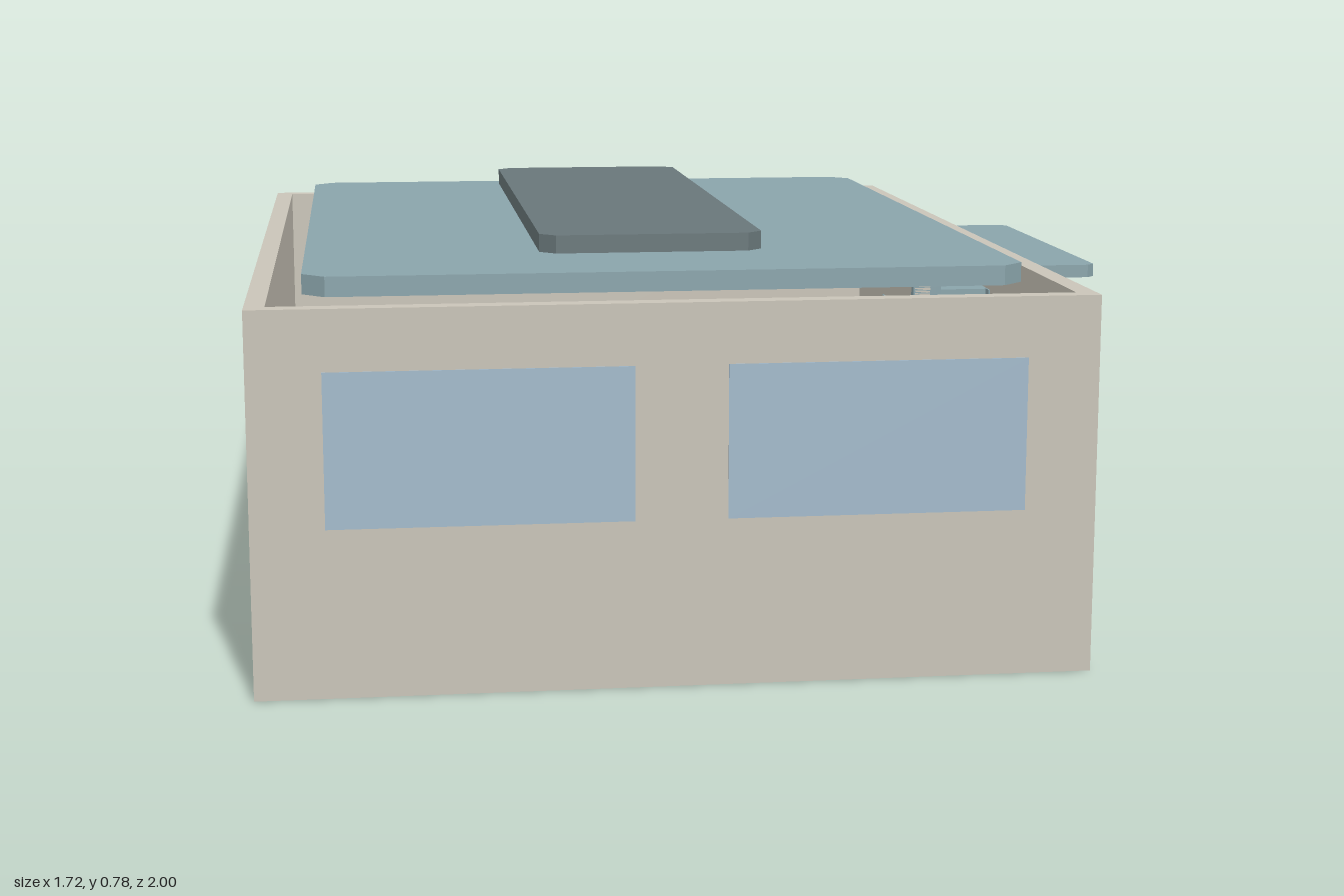
import * as THREE from 'three';

const material = (name, color) => {
  const m = new THREE.MeshStandardMaterial({ color });
  m.name = name;
  return m;
};

export function createModel() {
  const model = new THREE.Group();
  model.name = 'building';
  const plaster = material('beige plaster', 0xc9c4b8);
  const blue = material('grey blue trim', 0x8aa4ab);
  const slate = material('dark slate', 0x69777a);
  const glass = material('pale blue glass', 0xa3bacb);

  const add = (name, geometry, mat, parent = model) => {
    const mesh = new THREE.Mesh(geometry, mat);
    mesh.name = name;
    parent.add(mesh);
    return mesh;
  };
  // Box given by its limits on each axis
  const box = (name, mat, [x0, x1], [y0, y1], [z0, z1], parent) => {
    const g = new THREE.BoxGeometry(x1 - x0, y1 - y0, z1 - z0);
    g.translate((x0 + x1) / 2, (y0 + y1) / 2, (z0 + z1) / 2);
    return add(name, g, mat, parent);
  };
  // Flat slab with chamfered corners
  const slab = (name, mat, [x0, x1], [y0, y1], [z0, z1], c, parent) => {
    const s = new THREE.Shape([
      [x0 + c, -z1], [x1 - c, -z1], [x1, -z1 + c], [x1, -z0 - c],
      [x1 - c, -z0], [x0 + c, -z0], [x0, -z0 - c], [x0, -z1 + c],
    ].map(([x, y]) => new THREE.Vector2(x, y)));
    const g = new THREE.ExtrudeGeometry(s, { depth: y1 - y0, bevelEnabled: false });
    g.rotateX(-Math.PI / 2).translate(0, y0, 0);
    return add(name, g, mat, parent);
  };
  const rect = (path, z0, z1, y0, y1) =>
    path.moveTo(z0, y0).lineTo(z1, y0).lineTo(z1, y1).lineTo(z0, y1).closePath();

  const L = -0.86, R = 0.672, H = 0.704, T = 0.037, FLOOR = 0.108;
  const doors = [
    { name: 'mainDoor', z: [-0.352, 0.356], top: 0.622, canopy: [-0.36, 0.362] },
    { name: 'sideDoor', z: [-0.67, -0.395], top: 0.466, canopy: [-0.685, -0.388] },
  ];
  const POST = 0.024;

  // Open-topped shell and floor
  box('floor', plaster, [L + T, R - T], [0, FLOOR], [-1 + T, 1 - T]);
  box('frontWall', plaster, [L, R], [0, H], [1 - T, 1]);
  box('backWall', plaster, [L, R], [0, H], [-1, -1 + T]);
  box('rightWall', plaster, [L, L + T], [0, H], [-1 + T, 1 - T]);

  // Left wall with the two doorways cut out
  const wall = new THREE.Shape();
  rect(wall, -1 + T, 1 - T, 0, H);
  for (const d of doors) {
    const hole = new THREE.Path();
    rect(hole, d.z[0] + POST, d.z[1] - POST, FLOOR, d.top);
    wall.holes.push(hole);
  }
  const wallGeometry = new THREE.ExtrudeGeometry(wall, { depth: T, bevelEnabled: false });
  wallGeometry.rotateY(-Math.PI / 2).translate(R, 0, 0);
  add('leftWall', wallGeometry, plaster);

  // Raised roof panels
  slab('roofPanel', blue, [-0.762, 0.572], [H, 0.741], [-0.865, 0.858], 0.042);
  slab('roofRidge', slate, [-0.312, 0.122], [0.741, 0.776], [-0.83, 0.583], 0.03);

  // Door frames, headers, canopies and sloping sills
  for (const d of doors) {
    const g = new THREE.Group();
    g.name = d.name;
    model.add(g);
    const [z0, z1] = d.z;
    box('doorPost', blue, [R - T - 0.003, 0.698], [FLOOR, d.top], [z0, z0 + POST], g);
    box('doorPost', blue, [R - T - 0.003, 0.698], [FLOOR, d.top], [z1 - POST, z1], g);
    box('header', plaster, [R - 0.01, 0.715], [d.top, d.top + 0.024], [z0, z1], g);
    slab('canopy', blue, [R, 0.856], [d.top + 0.024, d.top + 0.05], d.canopy, 0.016, g);

    const sill = new THREE.Shape([
      [R - 0.005, 0.088], [0.856, 0.088], [0.856, 0.099], [R - 0.005, FLOOR],
    ].map(([x, y]) => new THREE.Vector2(x, y)));
    const length = z1 - z0 - 2 * POST - 0.012;
    const sillGeometry = new THREE.ExtrudeGeometry(sill, { depth: length, bevelEnabled: false });
    sillGeometry.translate(0, 0, (z0 + z1 - length) / 2);
    add('sill', sillGeometry, plaster, g);
  }

  // Window panes on the front, back and right walls
  const E = 0.002;
  for (const x of [[-0.727, -0.176], [-0.008, 0.539]]) {
    box('frontWindow', glass, x, [0.31, 0.592], [1 - E, 1 + E]);
    box('backWindow', glass, x, [0.31, 0.592], [-1 - E, -1 + E]);
  }
  for (const z of [[-0.825, -0.105], [0.12, 0.83]]) {
    box('sideWindow', glass, [L - E, L + E], [0.31, 0.592], z);
  }
  return model;
}
